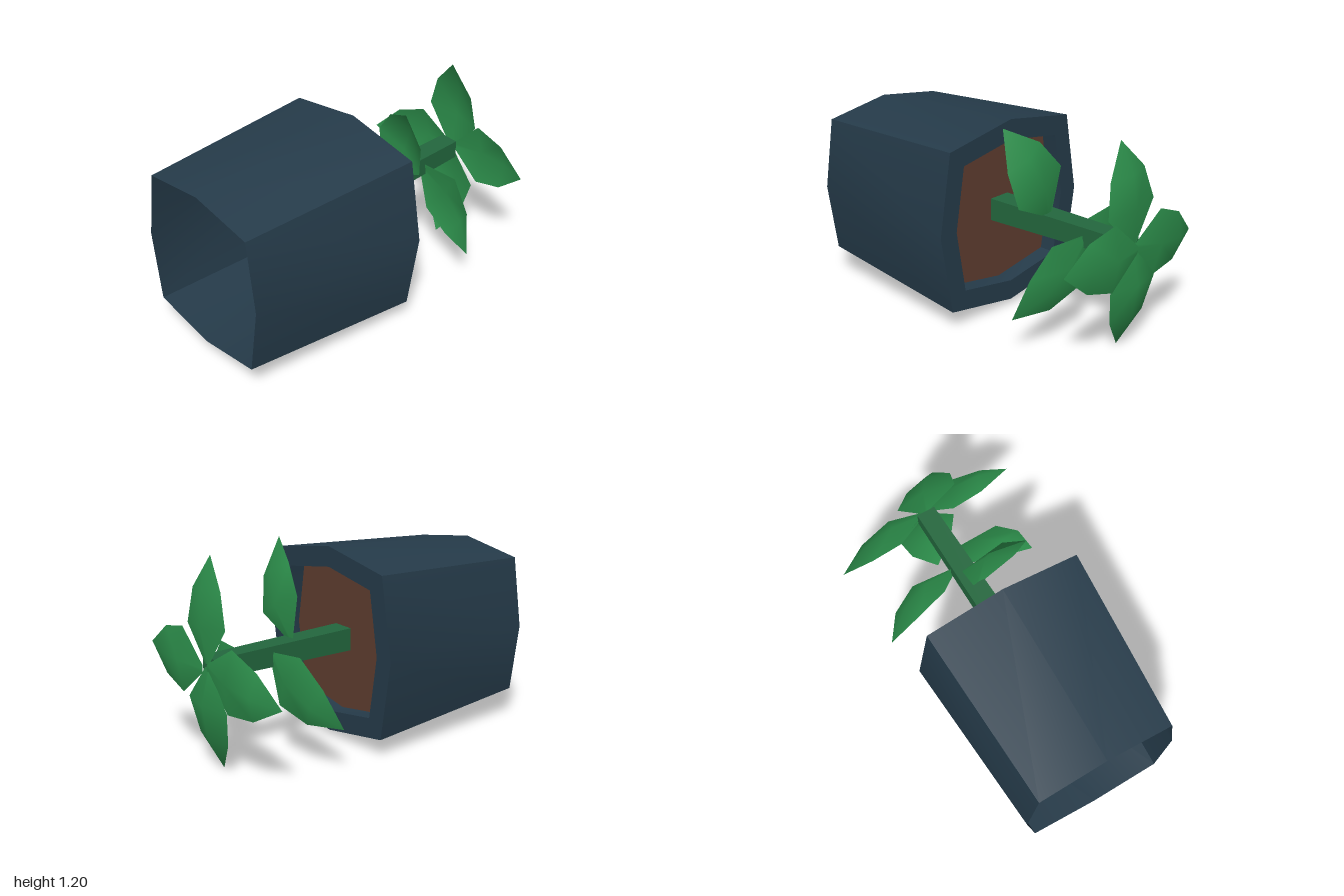
import * as THREE from 'three';
import { toCreasedNormals } from 'three/addons/utils/BufferGeometryUtils.js';

const mat = (name, color, side = THREE.DoubleSide) => new THREE.MeshStandardMaterial({ name, color, side });

// Skin a grid of points given as rows of equal length
function skin(rows, crease) {
  const n = rows[0].length, index = [];
  for (let r = 0; r < rows.length - 1; r++) {
    for (let i = 0; i < n - 1; i++) {
      const a = r * n + i, b = a + 1, c = a + n, d = c + 1;
      index.push(a, c, b, b, c, d);
    }
  }
  const g = new THREE.BufferGeometry();
  g.setAttribute('position', new THREE.Float32BufferAttribute(rows.flat(2), 3));
  g.setIndex(index);
  return toCreasedNormals(g, crease);
}

// Rounded-square ring: side = reach of the edge middles, corner = reach of the corners
const CX = 0.045, CY = 0.585;
function octagon(side, corner, z) {
  const pts = [];
  for (let i = 0; i <= 8; i++) {
    const t = i * Math.PI / 4, r = i % 2 ? corner * Math.SQRT2 : side;
    pts.push([CX + r * Math.cos(t), CY + r * Math.sin(t), z]);
  }
  return pts;
}

const rect = (x0, x1, y0, y1, z) => [[x1, y0, z], [x1, y1, z], [x0, y1, z], [x0, y0, z], [x1, y0, z]];

// Leaf from base to tip in x/y; zs gives the depth of the midrib at four stations
function leafGeometry(base, tip, zs) {
  const dx = tip[0] - base[0], dy = tip[1] - base[1], len = Math.hypot(dx, dy);
  const px = -dy / len, py = dx / len;
  const along = [0, 0.35, 0.69, 1], half = [0.02, 0.19, 0.14, 0], droop = [0, 0.04, 0.04, 0];
  const rows = along.map((t, k) => [1, 0, -1].map(s => [
    base[0] + dx * t + px * half[k] * s,
    base[1] + dy * t + py * half[k] * s,
    zs[k] + droop[k] * Math.abs(s),
  ]));
  return skin(rows, 1.4);
}

export function createModel() {
  const group = new THREE.Group();
  const potMat = mat('slate pot', 0x263c4b);
  const soilMat = mat('brown soil', 0x603e30);
  const stemMat = mat('dark green stem', 0x23683e);
  const leafMat = mat('leaf green', 0x2d904c);
  const add = (name, geometry, material) => {
    const m = new THREE.Mesh(geometry, material);
    m.name = name;
    group.add(m);
  };

  // Pot on its side: open base, tapered wall, flat rim, inner lip
  add('pot', skin([
    octagon(0.475, 0.412, 1),
    octagon(0.555, 0.474, -0.08),
    octagon(0.435, 0.372, -0.08),
    octagon(0.435, 0.372, 0.02),
  ], 0.6), potMat);

  // Soil sheet inside the lip
  const outline = octagon(0.435, 0.372, 0).slice(0, 8).map(p => new THREE.Vector2(p[0], p[1]));
  const soil = new THREE.ShapeGeometry(new THREE.Shape(outline));
  soil.translate(0, 0, 0.02);
  add('soil', soil, soilMat);

  // Square, slightly leaning stem with a closed end
  add('stem', skin([
    rect(-0.03, 0.107, 0.522, 0.655, 0.02),
    rect(-0.055, 0.06, 0.545, 0.655, -0.92),
    rect(0, 0, 0.6, 0.6, -0.92),
  ], 0.5), stemMat);

  // Three leaves along the stem, four at its end
  const leaves = [
    ['lowerLeaf', [0.03, 0.64], [0.29, 1.18], [-0.36, -0.41, -0.37, -0.25]],
    ['middleRightLeaf', [-0.02, 0.6], [-0.535, 0.285], [-0.53, -0.575, -0.535, -0.42]],
    ['middleLeftLeaf', [0.04, 0.59], [0.535, 0.235], [-0.64, -0.68, -0.65, -0.55]],
    ['endLeafUp', [0, 0.62], [0.05, 1.2], [-0.93, -0.96, -0.94, -0.86]],
    ['endLeafDown', [0, 0.6], [0.005, 0], [-0.93, -0.975, -0.94, -0.84]],
    ['endLeafRight', [0, 0.6], [-0.6, 0.51], [-0.935, -0.965, -0.945, -0.865]],
    ['endLeafLeft', [0, 0.6], [0.575, 0.615], [-0.96, -1, -0.99, -0.94]],
  ];
  for (const [name, base, tip, zs] of leaves) add(name, leafGeometry(base, tip, zs), leafMat);

  return group;
}
